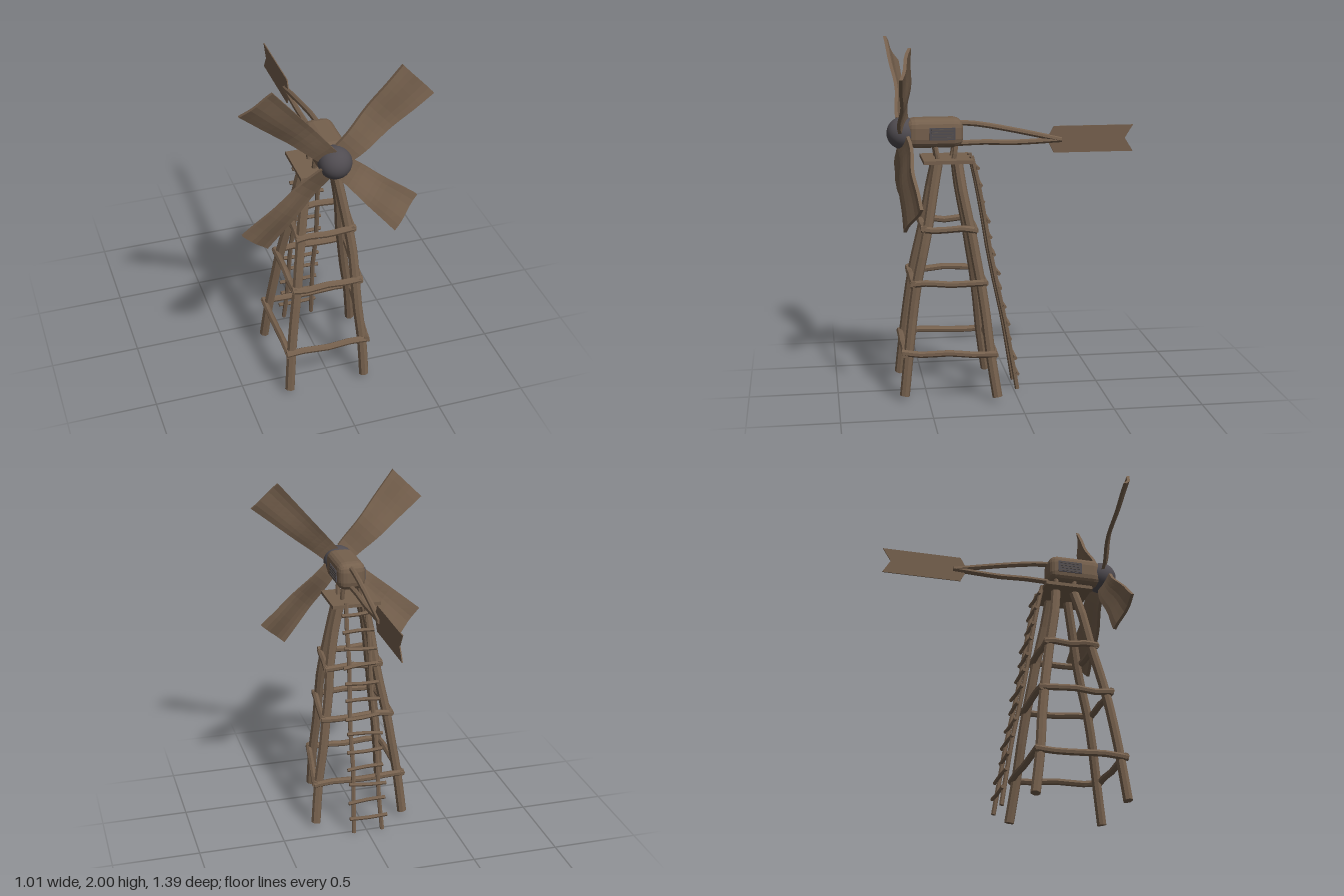
import * as THREE from 'three';
import { RoundedBoxGeometry } from 'three/addons/geometries/RoundedBoxGeometry.js';

const V = (x, y, z) => new THREE.Vector3(x, y, z);

export function createModel() {
  const root = new THREE.Group();
  const material = (name, color, flatShading) => {
    const m = new THREE.MeshStandardMaterial({ color, flatShading });
    m.name = name;
    return m;
  };
  const wood = material('weathered wood', 0x75604d, true);
  const metal = material('dark metal', 0x504c51, false);
  const vent = material('vent grey', 0x57504d, true);

  const add = (parent, name, geometry, mat, pos = V(0, 0, 0)) => {
    const mesh = new THREE.Mesh(geometry, mat);
    mesh.name = name;
    mesh.position.copy(pos);
    parent.add(mesh);
    return mesh;
  };
  const group = (name) => {
    const g = new THREE.Group();
    g.name = name;
    root.add(g);
    return g;
  };

  // Capped log: a cylinder bent along a smooth path
  const log = (parent, name, points, r, sides = 7) => {
    const curve = new THREE.CatmullRomCurve3(points);
    const segments = Math.max(1, (points.length - 1) * 2);
    const geo = new THREE.CylinderGeometry(r, r, 1, sides, segments);
    const chord = points[points.length - 1].clone().sub(points[0]).normalize();
    const q = new THREE.Quaternion().setFromUnitVectors(V(0, 1, 0), chord);
    const p = geo.attributes.position;
    for (let i = 0; i < p.count; i++) {
      const c = curve.getPoint(THREE.MathUtils.clamp(p.getY(i) + 0.5, 0, 1));
      const o = V(p.getX(i), 0, p.getZ(i)).applyQuaternion(q).add(c);
      p.setXYZ(i, o.x, o.y, o.z);
    }
    geo.computeVertexNormals();
    return add(parent, name, geo, wood);
  };

  // Crooked tower legs
  const tower = group('tower');
  const ys = [0.035, 0.28, 0.48, 0.67, 0.82, 0.97, 1.18, 1.335];
  const zFront = [0.632, 0.605, 0.58, 0.552, 0.52, 0.487, 0.45, 0.42];
  const zBack = [0.12, 0.155, 0.175, 0.2, 0.225, 0.25, 0.29, 0.31];
  const legs = [
    ['frontRightLeg', [-0.258, -0.238, -0.215, -0.188, -0.168, -0.146, -0.115, -0.07], zFront],
    ['frontLeftLeg', [0.185, 0.175, 0.155, 0.145, 0.14, 0.122, 0.088, 0.06], zFront],
    ['backLeftLeg', [0.278, 0.25, 0.215, 0.188, 0.165, 0.15, 0.11, 0.07], zBack],
    ['backRightLeg', [-0.257, -0.235, -0.205, -0.178, -0.15, -0.125, -0.1, -0.07], zBack],
  ].map(([name, xs, zs]) => {
    const pts = ys.map((y, i) => V(xs[i], y, zs[i]));
    log(tower, name, pts, 0.028, 8);
    return pts;
  });

  // Three rings of cross beams, lashed outside the legs
  [1, 3, 5].forEach((level, k) => {
    for (let i = 0; i < 4; i++) {
      const a = legs[i][level].clone(), b = legs[(i + 1) % 4][level].clone();
      const dir = b.clone().sub(a).normalize();
      const out = V(-dir.z, 0, dir.x).multiplyScalar(0.022);
      if (out.dot(a.clone().add(b).multiplyScalar(0.5).sub(V(0, a.y, 0.37))) < 0) out.negate();
      a.add(out).addScaledVector(dir, -0.035);
      b.add(out).addScaledVector(dir, 0.035);
      const pts = [0, 0.2, 0.5, 0.75, 1].map((t, j) =>
        a.clone().lerp(b, t).add(V(0, [0.004, 0.01, -0.002, 0.008, 0][(j + i + k) % 5], 0)));
      log(tower, 'crossBeam', pts, 0.019);
    }
  });

  // Platform and the posts that hold the housing
  add(tower, 'platform', new THREE.BoxGeometry(0.285, 0.02, 0.276), wood, V(-0.01, 1.345, 0.366));
  for (const s of [-1, 1]) for (const [z, lean] of [[0.425, 0.008], [0.325, -0.008]]) {
    log(tower, 'housingPost', [V(s * 0.05, 1.34, z - lean), V(s * 0.052, 1.38, z), V(s * 0.045, 1.44, z + lean)], 0.014);
  }

  // Ladder leaning on the back of the tower
  const ladder = group('ladder');
  const railAt = (t, s) => V(THREE.MathUtils.lerp(s * 0.083, s * 0.058, t) - 0.005,
    0.01 + 1.355 * t, -0.025 + 0.253 * t);
  for (const s of [-1, 1]) {
    const pts = [0, 0.15, 0.3, 0.45, 0.6, 0.75, 0.9, 1].map((t, i) =>
      railAt(t, s).add(V(0.004 * Math.sin(i * 2.1 + s), 0, 0.004 * Math.cos(i * 1.7))));
    log(ladder, 'ladderRail', pts, 0.013, 6);
  }
  for (let i = 0; i < 13; i++) {
    const t = (0.095 + i * 0.1) / 1.355, tilt = 0.006 * Math.sin(i * 2.3);
    const a = railAt(t, -1).add(V(-0.035 + tilt, tilt, -0.014 + tilt));
    const b = railAt(t, 1).add(V(0.03 + tilt, -tilt, -0.014 - tilt));
    const mid = a.clone().lerp(b, 0.5).add(V(0, i % 2 ? 0.005 : -0.005, 0));
    log(ladder, 'rung', [a, mid, b], 0.011, 6);
  }

  // Rounded housing with slatted vents on both sides
  const head = group('head');
  add(head, 'housing', new RoundedBoxGeometry(0.168, 0.165, 0.32, 2, 0.052), wood, V(0, 1.497, 0.435));
  for (const s of [-1, 1]) {
    add(head, 'vent', new THREE.BoxGeometry(0.008, 0.068, 0.142), metal, V(s * 0.085, 1.497, 0.395));
    for (let i = 0; i < 4; i++) {
      add(head, 'ventSlat', new THREE.BoxGeometry(0.008, 0.008, 0.12), vent, V(s * 0.088, 1.473 + i * 0.016, 0.395));
    }
  }
  add(head, 'hub', new THREE.SphereGeometry(0.09, 28, 18), metal, V(-0.003, 1.495, 0.608));

  // Warped blades: tip x, tip y (from the hub), tip depth, tip twist
  const blades = group('blades');
  [
    [0.43, 0.42, 0.62, 0.03],
    [-0.43, 0.43, 0.645, 0.04],
    [-0.432, -0.43, 0.592, 0.028],
    [0.411, -0.416, 0.588, 0.038],
  ].forEach(([tx, ty, depth, twist], k) => {
    const length = Math.hypot(tx, ty), u = V(tx, ty, 0).normalize(), v = V(-u.y, u.x, 0);
    const geo = new THREE.BoxGeometry(1, 2, 0.018, 12, 6, 1);
    const p = geo.attributes.position;
    for (let i = 0; i < p.count; i++) {
      const t = p.getX(i) + 0.5, s = p.getY(i);
      const along = THREE.MathUtils.lerp(0.065, length, t);
      const half = THREE.MathUtils.lerp(0.055, 0.107, t);
      const wave = 0.012 * Math.sin(t * 9 + k) * (1 - t) + 0.007 * Math.sin(s * 3 + k) * t;
      const z = THREE.MathUtils.lerp(0.607, depth, t * t) + wave + p.getZ(i)
        - s * THREE.MathUtils.lerp(0.022, twist, t);
      const o = u.clone().multiplyScalar(along).addScaledVector(v, s * half);
      p.setXYZ(i, o.x, o.y + 1.497, z);
    }
    geo.computeVertexNormals();
    add(blades, 'blade', geo, wood);
  });

  // Tail booms and notched vane
  const tail = group('tail');
  log(tail, 'upperBoom', [V(0.005, 1.548, 0.3), V(0.005, 1.54, 0.2), V(0.005, 1.513, 0.05),
    V(0.005, 1.472, -0.14), V(0.005, 1.44, -0.28)], 0.016);
  log(tail, 'lowerBoom', [V(0.005, 1.432, 0.3), V(0.005, 1.436, 0.15), V(0.005, 1.43, 0),
    V(0.005, 1.434, -0.14), V(0.005, 1.441, -0.285)], 0.016);
  const outline = new THREE.Shape([[0.2, 1.445], [0.24, 1.367], [0.695, 1.367], [0.648, 1.443],
    [0.695, 1.518], [0.24, 1.518]].map(([a, b]) => new THREE.Vector2(a, b)));
  const vane = add(tail, 'vane', new THREE.ExtrudeGeometry(outline, { depth: 0.006, bevelEnabled: false }), wood, V(0.002, 0, 0));
  vane.rotation.y = Math.PI / 2;
  return root;
}
